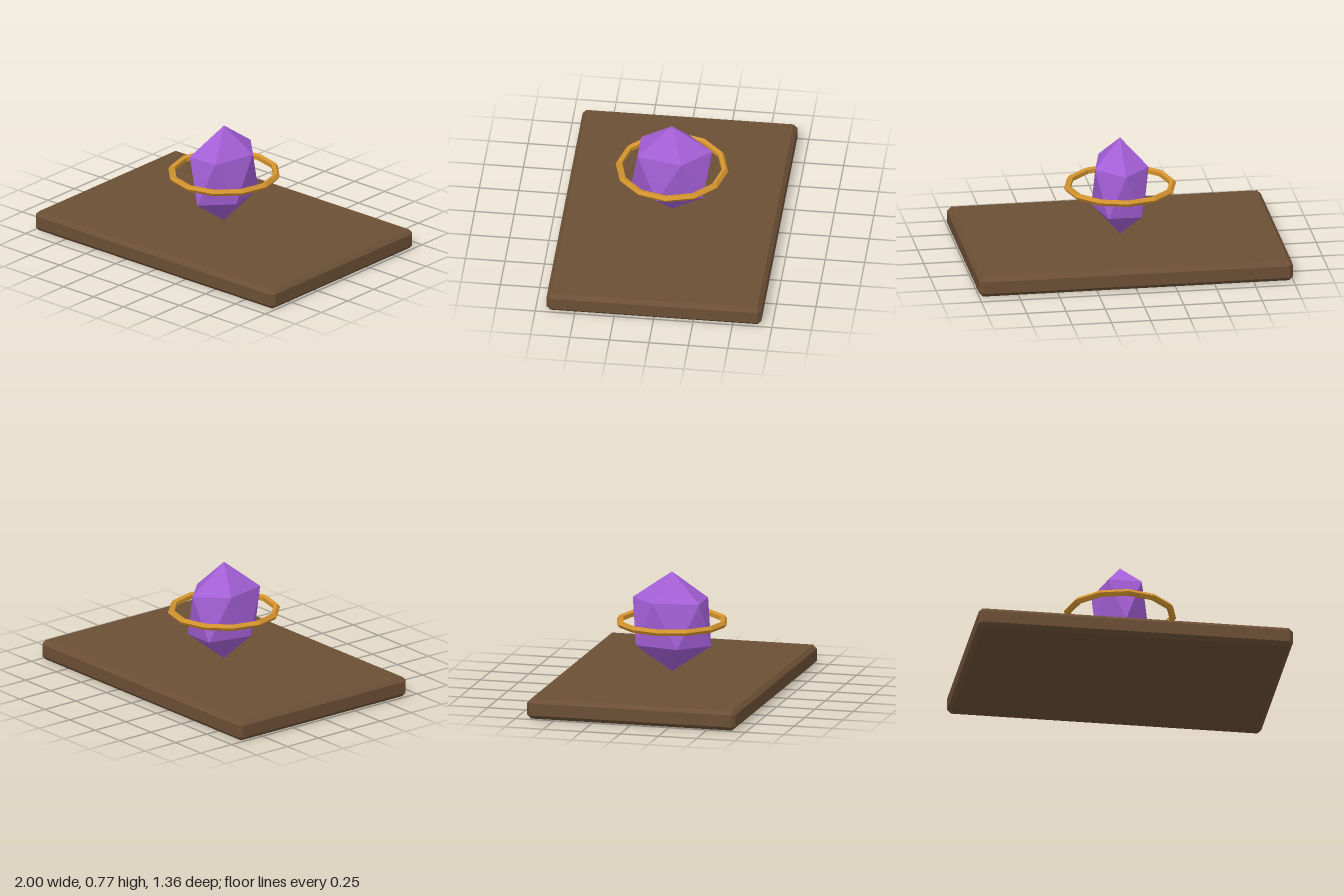
import * as THREE from 'three';
import { ConvexGeometry } from 'three/addons/geometries/ConvexGeometry.js';

function material(name, color) {
  const m = new THREE.MeshStandardMaterial({ color, flatShading: true });
  m.name = name;
  return m;
}

// Box with every edge and corner cut off by a flat chamfer
function chamferedBox(width, height, depth, cut) {
  const half = [width / 2, height / 2, depth / 2];
  const points = [];
  for (const sx of [-1, 1]) for (const sy of [-1, 1]) for (const sz of [-1, 1]) {
    const sign = [sx, sy, sz];
    for (let axis = 0; axis < 3; axis++) {
      const p = half.map((h, i) => sign[i] * (i === axis ? h : h - cut));
      points.push(new THREE.Vector3(...p));
    }
  }
  return new ConvexGeometry(points);
}

export function createModel() {
  const group = new THREE.Group();
  group.name = 'crystalOnSlab';

  const add = (name, geometry, mat, y) => {
    const mesh = new THREE.Mesh(geometry, mat);
    mesh.name = name;
    mesh.position.y = y;
    group.add(mesh);
  };

  // Wooden slab
  add('slab', chamferedBox(2, 0.128, 1.36, 0.025), material('brown wood', 0x6b4f35), 0.064);

  // Faceted crystal: icosahedron stood on a vertex, then stretched
  const crystal = new THREE.IcosahedronGeometry(1, 0);
  crystal.rotateX(-Math.atan((1 + Math.sqrt(5)) / 2));
  crystal.rotateY(Math.PI);
  crystal.scale(0.2, 0.3225, 0.286);
  add('crystal', crystal, material('purple crystal', 0xa35fd6), 0.4525);

  // Twelve-sided ring floating around the crystal
  const ring = new THREE.TorusGeometry(0.335, 0.0225, 5, 12);
  ring.rotateX(-Math.PI / 2);
  add('ring', ring, material('gold', 0xd4942e), 0.4535);

  return group;
}
